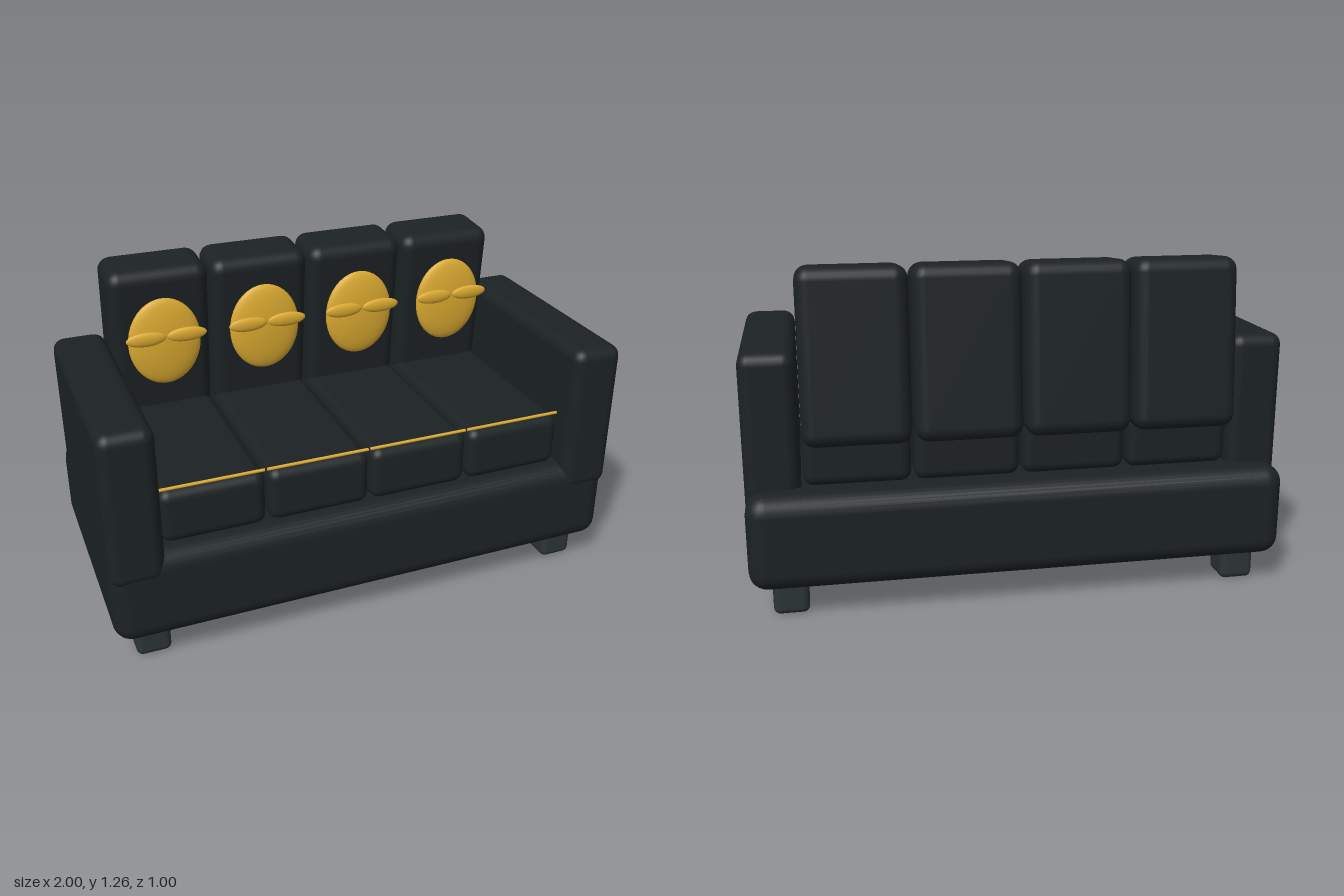
import * as THREE from 'three';
import { RoundedBoxGeometry } from 'three/addons/geometries/RoundedBoxGeometry.js';

const fabric = new THREE.MeshStandardMaterial({ color: 0x1c2224 });
const legPaint = new THREE.MeshStandardMaterial({ color: 0x2c3436 });
const gold = new THREE.MeshStandardMaterial({ color: 0xdaa930 });

function add(parent, name, geometry, material, x, y, z) {
  const mesh = new THREE.Mesh(geometry, material);
  mesh.name = name;
  mesh.position.set(x, y, z);
  parent.add(mesh);
  return mesh;
}

const box = (w, h, d, r) => new RoundedBoxGeometry(w, h, d, 3, r);
const ellipsoid = (rx, ry, rz) => new THREE.SphereGeometry(1, 32, 20).scale(rx, ry, rz);

export function createModel() {
  const sofa = new THREE.Group();
  sofa.name = 'sofa';

  add(sofa, 'base', box(2, 0.355, 0.995, 0.07), fabric, 0, 0.293, -0.002);

  // Armrests and feet, mirrored left and right
  const armGeo = box(0.2, 0.6, 0.896, 0.045);
  const legGeo = box(0.13, 0.16, 0.132, 0.025);
  for (const [side, s] of [['left', 1], ['right', -1]]) {
    add(sofa, side + 'Armrest', armGeo, fabric, s * 0.9, 0.665, 0.052);
    add(sofa, side + 'FrontLeg', legGeo, legPaint, s * 0.855, 0.08, 0.355);
    add(sofa, side + 'BackLeg', legGeo, legPaint, s * 0.855, 0.08, -0.358);
  }

  // Four identical seats
  const seatGeo = box(0.39, 0.21, 0.81, 0.04);
  const backGeo = box(0.39, 0.63, 0.226, 0.05);
  const pipingGeo = new THREE.CylinderGeometry(0.006, 0.006, 0.39, 12).rotateZ(Math.PI / 2);
  const medallionGeo = ellipsoid(0.141, 0.174, 0.034);
  const leafGeo = ellipsoid(0.077, 0.028, 0.013);
  for (let i = 0; i < 4; i++) {
    const seat = new THREE.Group();
    seat.name = 'seat' + (i + 1);
    seat.position.x = -0.6 + i * 0.4 - 0.003;
    sofa.add(seat);

    add(seat, 'seatCushion', seatGeo, fabric, 0, 0.57, 0.025);
    add(seat, 'seatPiping', pipingGeo, gold, 0, 0.68, 0.405);
    add(seat, 'backCushion', backGeo, fabric, 0, 0.94, -0.337).rotation.x = 0.09;

    // Gold oval with a pair of leaves in front
    add(seat, 'medallion', medallionGeo, gold, 0, 0.97, -0.181);
    for (const s of [-1, 1]) add(seat, 'medallionLeaf', leafGeo, gold, s * 0.079, 1.004, -0.14);
  }
  return sofa;
}
